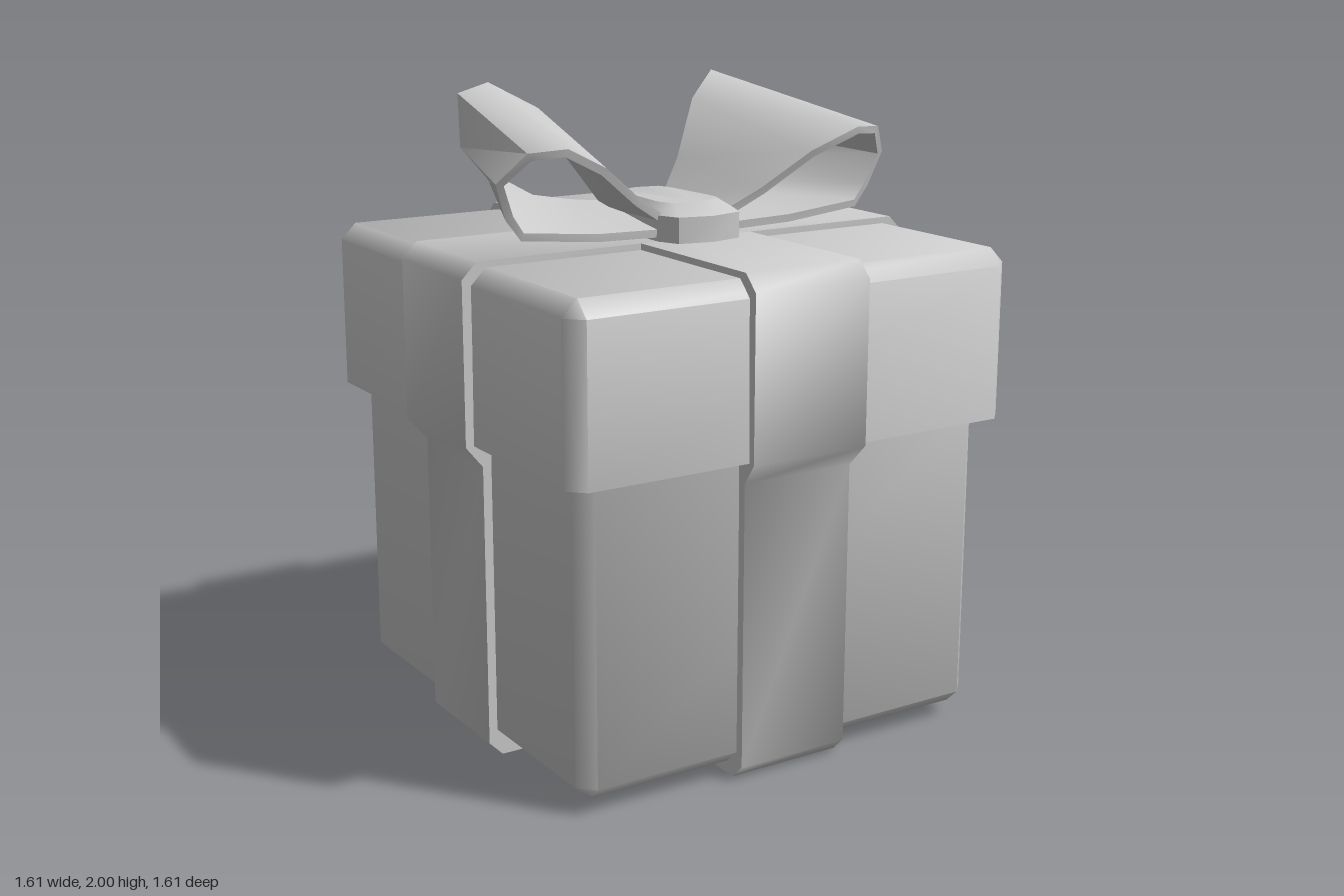
import * as THREE from 'three';
import { toCreasedNormals } from 'three/addons/utils/BufferGeometryUtils.js';

const material = new THREE.MeshStandardMaterial({ color: 0xcccccc });
const V = (x, y, z) => new THREE.Vector3(x, y, z);

function part(name, geometry, crease = 1) {
  const mesh = new THREE.Mesh(toCreasedNormals(geometry, crease), material);
  mesh.name = name;
  return mesh;
}

// Skin over closed rings of points, capped at both ends
function loft(rings) {
  const points = [];
  const tri = (...corners) => {
    const [a, b, c] = corners;
    const area = b.clone().sub(a).cross(c.clone().sub(a)).length();
    if (area > 1e-9) corners.forEach((p) => points.push(p));
  };
  const n = rings[0].length;
  for (let i = 0; i < rings.length - 1; i++) {
    for (let j = 0; j < n; j++) {
      const k = (j + 1) % n;
      tri(rings[i][j], rings[i][k], rings[i + 1][k]);
      tri(rings[i][j], rings[i + 1][k], rings[i + 1][j]);
    }
  }
  const first = rings[0], last = rings[rings.length - 1];
  for (let j = 1; j < n - 1; j++) {
    tri(first[0], first[j + 1], first[j]);
    tri(last[0], last[j], last[j + 1]);
  }
  return new THREE.BufferGeometry().setFromPoints(points);
}

// Horizontal square ring with corners cut by c
function squareRing(y, h, c) {
  const s = h - c;
  return [[h, s], [h, -s], [s, -h], [-s, -h], [-h, -s], [-h, s], [-s, h], [s, h]]
    .map(([x, z]) => V(x, y, z));
}

// Ribbon band wrapped around box and lid, stepping out at the lid
function ribbonBand() {
  const right = [[0.7, 0], [0.745, 0.045], [0.745, 0.93], [0.805, 1], [0.805, 1.5], [0.755, 1.55]];
  const left = right.map(([x, y]) => [-x, y]).reverse();
  const shape = new THREE.Shape([...right, ...left].map(([x, y]) => new THREE.Vector2(x, y)));
  const geometry = new THREE.ExtrudeGeometry(shape, { depth: 0.4, bevelEnabled: false });
  geometry.translate(0, 0, -0.2);
  const p = geometry.attributes.position;
  for (let i = 0; i < p.count; i++) {
    if (p.getY(i) < 0.95) p.setZ(i, p.getZ(i) * 0.945); // narrower below the lid
  }
  return geometry;
}

// Bow loop: front and back edge of the band, running out over the top and back below
const frontEdge = [
  [0.1, 1.62, 0.19], [0.22, 1.69, 0.23], [0.37, 1.8, 0.285], [0.52, 1.87, 0.325], [0.63, 1.86, 0.285],
  [0.7, 1.77, 0.22], [0.66, 1.66, 0.2], [0.61, 1.595, 0.2], [0.35, 1.568, 0.2], [0.1, 1.56, 0.19],
].map((p) => V(...p));
const backEdge = [
  [0.1, 1.62, -0.16], [0.18, 1.74, -0.19], [0.29, 1.92, -0.27], [0.42, 2, -0.355], [0.5, 1.965, -0.41],
  [0.515, 1.8, -0.37], [0.45, 1.7, -0.31], [0.34, 1.63, -0.24], [0.22, 1.61, -0.2], [0.1, 1.6, -0.16],
].map((p) => V(...p));

function bowLoop(side) {
  const thickness = 0.025;
  const inner = (edge, i, across) => {
    const tangent = edge[Math.min(i + 1, edge.length - 1)].clone().sub(edge[Math.max(i - 1, 0)]);
    return edge[i].clone().addScaledVector(tangent.cross(across).normalize(), -thickness);
  };
  const rings = frontEdge.map((front, i) => {
    const back = backEdge[i];
    const across = back.clone().sub(front);
    const ring = [front.clone(), inner(frontEdge, i, across), inner(backEdge, i, across), back.clone()];
    ring.forEach((p) => { p.x *= side; });
    return side > 0 ? ring : ring.reverse();
  });
  return loft(rings);
}

// Knot: rounded slab with a smaller, raised top
function knotGeometry() {
  const half = [[0.11, 0.27], [0.14, 0.2], [0.137, 0.1], [0.12, -0.15], [0.1, -0.215]];
  const outline = [[0, 0.295], ...half, [0, -0.235], ...half.map(([x, z]) => [-x, z]).reverse()];
  const ring = (y, sx, sz) => outline.map(([x, z]) => V(x * sx, y, 0.03 + (z - 0.03) * sz));
  return loft([ring(1.545, 1, 1), ring(1.63, 1, 1), ring(1.662, 0.74, 0.68)]);
}

export function createModel() {
  const model = new THREE.Group();
  model.name = 'giftBox';

  model.add(part('box', loft([
    squareRing(0.04, 0.67, 0), squareRing(0.085, 0.717, 0.047), squareRing(1.02, 0.717, 0.047),
  ])));
  model.add(part('lid', loft([
    squareRing(1, 0.776, 0.05), squareRing(1.48, 0.776, 0.05), squareRing(1.53, 0.726, 0),
  ])));

  // Two crossing ribbons
  for (const [name, turn] of [['sideRibbon', 0], ['frontRibbon', Math.PI / 2]]) {
    model.add(part(name, ribbonBand().rotateY(turn)));
  }

  // Bow
  const bow = new THREE.Group();
  bow.name = 'bow';
  bow.add(part('leftBowLoop', bowLoop(1)), part('rightBowLoop', bowLoop(-1)));
  bow.add(part('bowKnot', knotGeometry(), 0.5));
  model.add(bow);

  return model;
}
